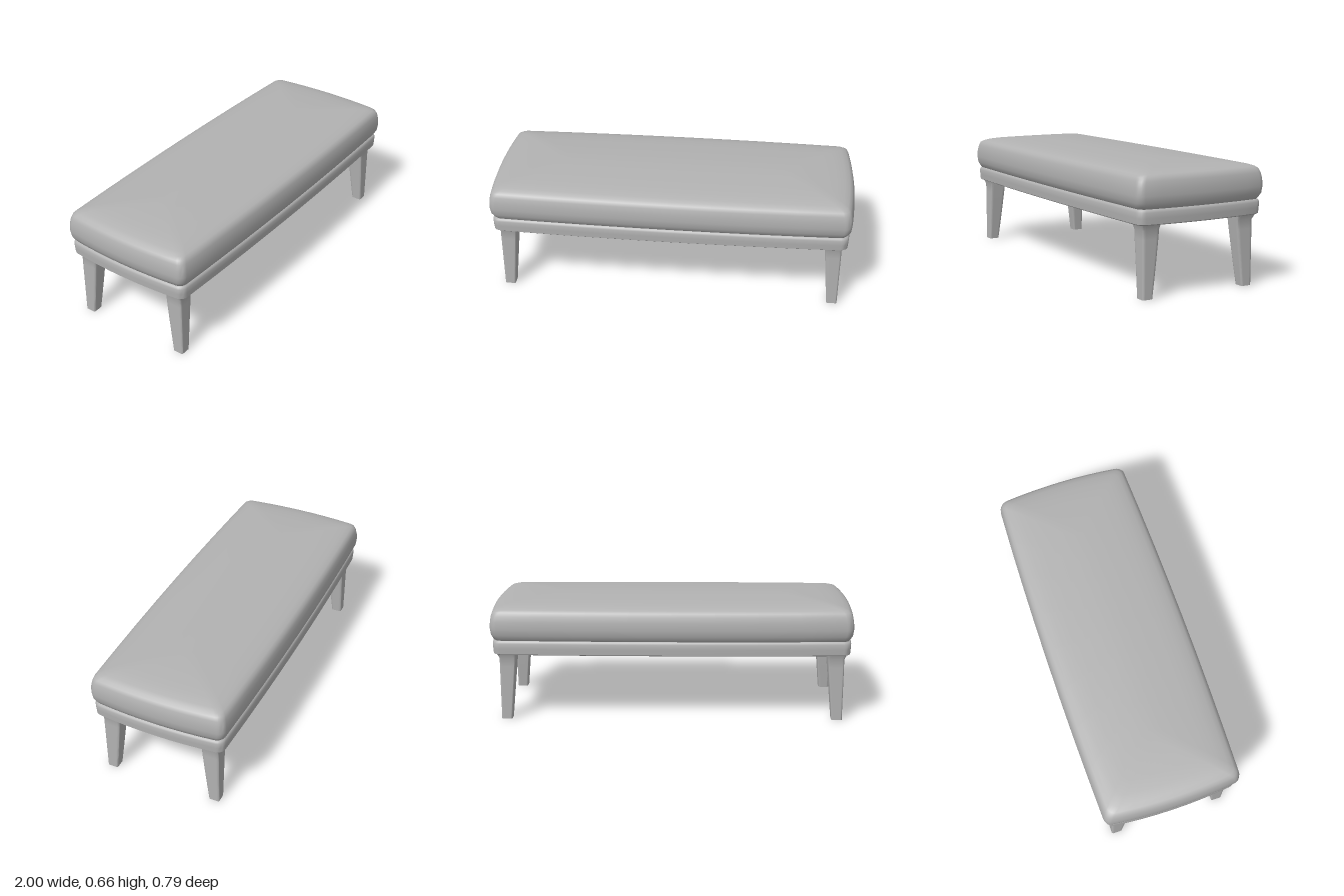
import * as THREE from 'three';
import { toCreasedNormals } from 'three/addons/utils/BufferGeometryUtils.js';

// Closed rounded-rectangle outline at height y; bow pushes the middle of each side outward
function ring({ y, a, b, r, cx = 0, cz = 0, bowX = 0, bowZ = 0 }) {
  const pts = [], corner = 5, side = 8;
  r = Math.max(0, Math.min(r, a, b));
  const signs = [[1, 1], [-1, 1], [-1, -1], [1, -1]];
  const arcs = signs.map(([sx, sz], q) => Array.from({ length: corner + 1 }, (_, i) => {
    const t = (q + i / corner) * Math.PI / 2;
    return [sx * (a - r) + r * Math.cos(t), sz * (b - r) + r * Math.sin(t)];
  }));
  arcs.forEach((arc, q) => {
    pts.push(...arc);
    const p = arc[corner], n = arcs[(q + 1) % 4][0];
    for (let i = 1; i < side; i++) {
      pts.push([p[0] + (n[0] - p[0]) * i / side, p[1] + (n[1] - p[1]) * i / side]);
    }
  });
  return pts.map(([x, z]) => {
    const u = a > 0 ? x / a : 0, v = b > 0 ? z / b : 0;
    return [cx + x + bowX * u * (1 - v * v), y, cz + z + bowZ * v * (1 - u * u)];
  });
}

// Skin a stack of outlines running from bottom to top
function loft(rings, crease) {
  const n = rings[0].length, index = [];
  for (let k = 0; k < rings.length - 1; k++) {
    for (let i = 0; i < n; i++) {
      const j = (i + 1) % n, lo = k * n, up = lo + n;
      index.push(lo + j, lo + i, up + i, lo + j, up + i, up + j);
    }
  }
  const g = new THREE.BufferGeometry();
  g.setAttribute('position', new THREE.Float32BufferAttribute(rings.flat(2), 3));
  g.setIndex(index);
  return toCreasedNormals(g, crease);
}

// Upholstered block from a profile of [inset, height]
function padded(profile, crease) {
  return loft(profile.map(([inset, y]) => {
    const s = 1 - Math.max(0, inset) / 0.378;
    return ring({ y, a: 0.976 - inset, b: 0.378 - inset, r: 0.035, bowX: 0.024 * s, bowZ: 0.019 * s });
  }), crease);
}

export function createModel() {
  const model = new THREE.Group();
  const grey = new THREE.MeshStandardMaterial({ color: 0xb2b2b2 });
  grey.name = 'grey';
  const add = (name, geometry) => {
    const mesh = new THREE.Mesh(geometry, grey);
    mesh.name = name;
    model.add(mesh);
  };

  // Soft domed cushion
  add('cushion', padded([
    [0.378, 0.452], [0.022, 0.452], [0.014, 0.464], [0.004, 0.485], [0, 0.52], [0.002, 0.56],
    [0.008, 0.59], [0.016, 0.61], [0.03, 0.621], [0.055, 0.63], [0.1, 0.639], [0.16, 0.645],
    [0.24, 0.651], [0.32, 0.655], [0.378, 0.656],
  ], 1.0));

  // Seat rail beneath the cushion
  add('seatRail', padded([
    [0.378, 0.375], [0.02, 0.375], [0.014, 0.38], [0.012, 0.41], [0.011, 0.438],
    [0.015, 0.449], [0.024, 0.456], [0.378, 0.456],
  ], 0.8));

  // Four tapered legs, straight outside and curved inside: [height, inner x, inner z]
  const taper = [[0, 0.88, 0.272], [0.1, 0.871, 0.26], [0.2, 0.862, 0.249], [0.3, 0.853, 0.239], [0.38, 0.847, 0.232]];
  const outerX = 0.938, outerZ = 0.33;
  for (const [sx, sz, name] of [[1, 1, 'frontLeftLeg'], [-1, 1, 'frontRightLeg'], [1, -1, 'backLeftLeg'], [-1, -1, 'backRightLeg']]) {
    const section = ([y, ix, iz], flare = 0) => ring({
      y, r: 0.008,
      a: (outerX + flare - ix) / 2, b: (outerZ + flare - iz) / 2,
      cx: sx * (outerX + flare + ix) / 2, cz: sz * (outerZ + flare + iz) / 2,
    });
    const foot = ring({ y: 0, a: 0, b: 0, r: 0, cx: sx * 0.909, cz: sz * 0.301 });
    const rings = [foot, ...taper.slice(0, 4).map((t) => section(t)),
      section([0.348, 0.849, 0.235]), section(taper[4], 0.014)];
    add(name, loft(rings, 0.7));
  }
  return model;
}
